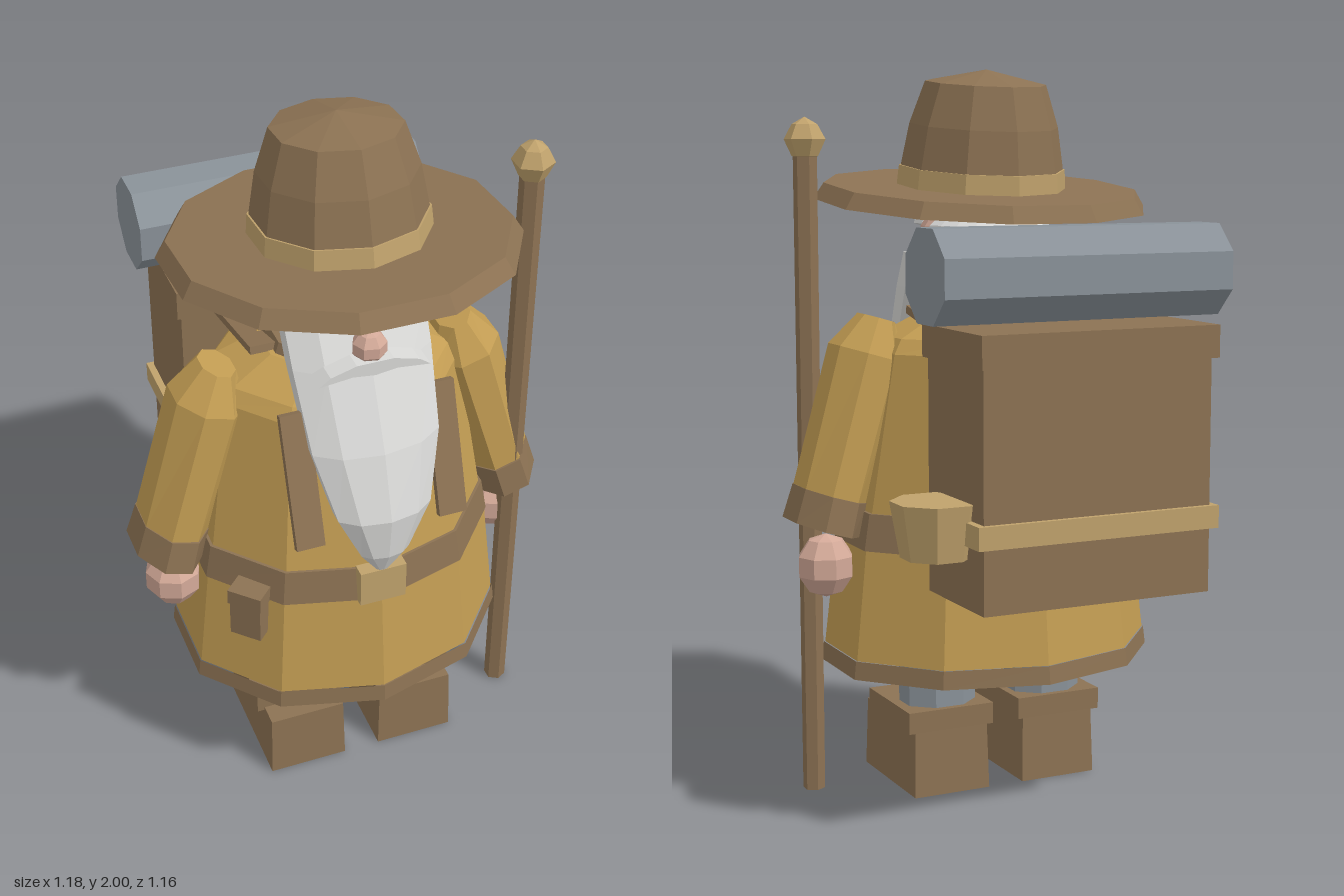
import * as THREE from 'three';

const paint = (name, color) => {
  const m = new THREE.MeshStandardMaterial({ color });
  m.name = name;
  return m;
};

// Stack of elliptical rings [y, rx, rz, cz], listed from bottom to top.
function loft(rings, n, offset = 0) {
  const pos = [], idx = [];
  rings.forEach(([y, rx, rz = rx, cz = 0], j) => {
    for (let i = 0; i < n; i++) {
      const a = ((i + offset) / n) * Math.PI * 2;
      pos.push(rx * Math.sin(a), y, cz + rz * Math.cos(a));
      if (j === rings.length - 1) continue;
      const k = (i + 1) % n, p = j * n, q = p + n;
      idx.push(p + i, p + k, q + k, p + i, q + k, q + i);
    }
  });
  const g = new THREE.BufferGeometry();
  g.setAttribute('position', new THREE.Float32BufferAttribute(pos, 3));
  g.setIndex(idx);
  return g;
}

// Box whose top is scaled by t.
function taperBox(w, h, d, t) {
  const g = new THREE.BoxGeometry(w, h, d), p = g.attributes.position;
  for (let i = 0; i < p.count; i++) {
    if (p.getY(i) > 0) p.setXYZ(i, p.getX(i) * t, p.getY(i), p.getZ(i) * t);
  }
  return g;
}

const box = (w, h, d) => new THREE.BoxGeometry(w, h, d);

export function createModel() {
  const root = new THREE.Group();
  root.name = 'traveller';
  const brown = paint('leather brown', 0x8c7253);
  const ochre = paint('robe ochre', 0xc39d53);
  const tan = paint('tan', 0xc0a26c);
  const grey = paint('slate grey', 0x8a9299);
  const white = paint('hair white', 0xd9d9d7);
  const skin = paint('skin', 0xd3a998);

  // Faceted mesh with one normal per face
  function add(name, geo, mat, pos = [0, 0, 0], rot = [0, 0, 0], parent = root) {
    const g = geo.index ? geo.toNonIndexed() : geo;
    g.computeVertexNormals();
    const m = new THREE.Mesh(g, mat);
    m.name = name;
    m.position.set(...pos);
    m.rotation.set(...rot);
    parent.add(m);
    return m;
  }

  // Robe
  add('robeHem', loft([[0.36, 0, 0, 0.1], [0.36, 0.478, 0.4, 0.1], [0.41, 0.472, 0.394, 0.1]], 10), brown);
  add('robeSkirt', loft([[0.41, 0.468, 0.39, 0.1], [0.72, 0.432, 0.358, 0.1]], 10), ochre);
  add('belt', loft([[0.71, 0.43, 0.355, 0.1], [0.71, 0.438, 0.362, 0.1],
    [0.81, 0.42, 0.346, 0.1], [0.81, 0.4, 0.33, 0.1]], 10), brown);
  add('robeTorso', loft([[0.8, 0.413, 0.34, 0.1], [1.24, 0.345, 0.295, 0.07],
    [1.28, 0.32, 0.265, 0.07], [1.34, 0.2, 0.18, 0.07], [1.34, 0, 0, 0.07]], 10), ochre);
  add('collar', loft([[1.3, 0.2, 0.19, 0.07], [1.37, 0.175, 0.17, 0.07], [1.37, 0, 0, 0.07]], 10), brown);
  add('buckle', box(0.13, 0.11, 0.04), tan, [0, 0.765, 0.447]);
  add('beltPouch', box(0.09, 0.14, 0.09), brown, [-0.325, 0.67, 0.33], [0, Math.PI / 4, 0]);
  add('pouchFlap', box(0.098, 0.045, 0.098), brown, [-0.325, 0.73, 0.33], [0, Math.PI / 4, 0]);

  for (const s of [-1, 1]) {
    // Legs and boots
    add('trouserLeg', new THREE.CylinderGeometry(0.11, 0.11, 0.24, 8, 1, false, Math.PI / 8), grey,
      [s * 0.165, 0.29, 0.075]).scale.z = 0.85;
    add('boot', taperBox(0.227, 0.195, 0.362, 0.96), brown, [s * 0.166, 0.0975, 0.151]);
    add('bootCuff', box(0.256, 0.06, 0.29), brown, [s * 0.168, 0.215, 0.115]);

    // Sleeve, cuff and hand
    const arm = new THREE.Group();
    arm.name = s > 0 ? 'leftArm' : 'rightArm';
    arm.position.set(s * 0.33, 1.33, 0.1);
    arm.rotation.z = s * 0.29;
    root.add(arm);
    add('sleeve', loft([[-0.5, 0.098, 0.128], [-0.1, 0.107, 0.118], [0, 0.05, 0.07], [0, 0, 0]], 8, 0.5),
      ochre, [0, 0, 0], [0, 0, 0], arm);
    add('cuff', loft([[-0.54, 0, 0], [-0.59, 0.102, 0.146], [-0.495, 0.1, 0.134], [-0.495, 0, 0]], 8, 0.5),
      brown, [0, 0, 0], [0, 0, 0], arm);
    add('hand', new THREE.SphereGeometry(0.082, 8, 5), skin, [s * 0.482, 0.655, 0.11]).scale.y = 1.08;

    // Carrying straps
    add('chestStrap', box(0.078, 0.37, 0.022), brown, [s * 0.2, 1.117, 0.383], [-0.345, 0, 0]);
    add('shoulderStrap', box(0.078, 0.022, 0.36), brown, [s * 0.2, 1.31, -0.07], [-0.22, 0, 0]);

    // Face sides
    add('ear', new THREE.SphereGeometry(0.055, 6, 5), skin, [s * 0.2, 1.488, 0.09]).scale.set(0.45, 1, 0.6);
    add('eye', box(0.042, 0.038, 0.009), grey, [s * 0.074, 1.532, 0.305]);
    add('eyebrow', box(0.088, 0.028, 0.045), white, [s * 0.072, 1.575, 0.305], [0, s * 0.15, s * 0.3]);
  }

  // Head, hair and nose
  add('head', new THREE.SphereGeometry(0.192, 10, 8), skin, [0, 1.5, 0.115]);
  add('backHair', new THREE.SphereGeometry(1, 10, 6, Math.PI, Math.PI), white, [0, 1.495, 0.09])
    .scale.set(0.2, 0.165, 0.207);
  add('nose', new THREE.SphereGeometry(0.048, 7, 5), skin, [0, 1.462, 0.335]);

  // Beard: rings given as [y, half width, back z, front z]
  const beard = [[0.795, 0, 0.455, 0.455], [0.89, 0.07, 0.42, 0.5], [1.02, 0.135, 0.37, 0.512],
    [1.2, 0.183, 0.28, 0.455], [1.4, 0.198, 0.16, 0.36], [1.5, 0.2, 0.11, 0.3], [1.5, 0, 0.2, 0.2]]
    .map(([y, rx, b, f]) => [y, rx, (f - b) / 2, (f + b) / 2]);
  add('beard', loft(beard, 10), white);

  // Moustache
  const lip = new THREE.Shape();
  lip.moveTo(-0.15, 1.398);
  [[-0.06, 1.408], [0, 1.4], [0.06, 1.408], [0.15, 1.398], [0.12, 1.42], [0.05, 1.44], [-0.05, 1.44], [-0.12, 1.42]]
    .forEach(p => lip.lineTo(...p));
  add('moustache', new THREE.ExtrudeGeometry(lip, { depth: 0.1, bevelEnabled: false }), white, [0, 0, 0.28]);

  // Hat, tipped back
  const hat = new THREE.Group();
  hat.name = 'hat';
  hat.position.set(0, 1.66, 0.127);
  hat.rotation.x = -0.1;
  root.add(hat);
  const inHat = [[0, 0, 0], [0, 0, 0], hat];
  add('brim', loft([[-0.022, 0], [-0.022, 0.468], [0.022, 0.44], [0.022, 0]], 12, 0.5), brown, ...inHat);
  add('hatBand', loft([[0.015, 0.237], [0.075, 0.232], [0.075, 0.2]], 10), tan, ...inHat);
  add('crown', loft([[0.02, 0.23], [0.075, 0.227], [0.19, 0.207], [0.305, 0.168], [0.341, 0]], 10), brown, ...inHat);

  // Walking staff
  add('staff', new THREE.CylinderGeometry(0.033, 0.031, 1.8, 6), brown, [0.497, 0.9, 0.187]);
  add('staffKnob', loft([[1.755, 0], [1.765, 0.036], [1.81, 0.057], [1.85, 0.035], [1.87, 0]], 6), tan, [0.497, 0, 0.187]);

  // Backpack
  add('pack', box(0.65, 0.63, 0.33), brown, [0, 0.955, -0.4]);
  add('packLid', box(0.675, 0.085, 0.358), brown, [0, 1.298, -0.405]);
  add('packStrap', box(0.69, 0.06, 0.356), tan, [0, 0.84, -0.402]);
  add('sidePouch', new THREE.CylinderGeometry(0.118, 0.092, 0.145, 8, 1, false, Math.PI / 8), tan, [0.381, 0.84, -0.405]);
  add('bedroll', new THREE.CylinderGeometry(0.129, 0.129, 0.82, 8, 1, false, Math.PI / 8), grey,
    [0, 1.474, -0.408], [0, 0, Math.PI / 2]);

  return root;
}
